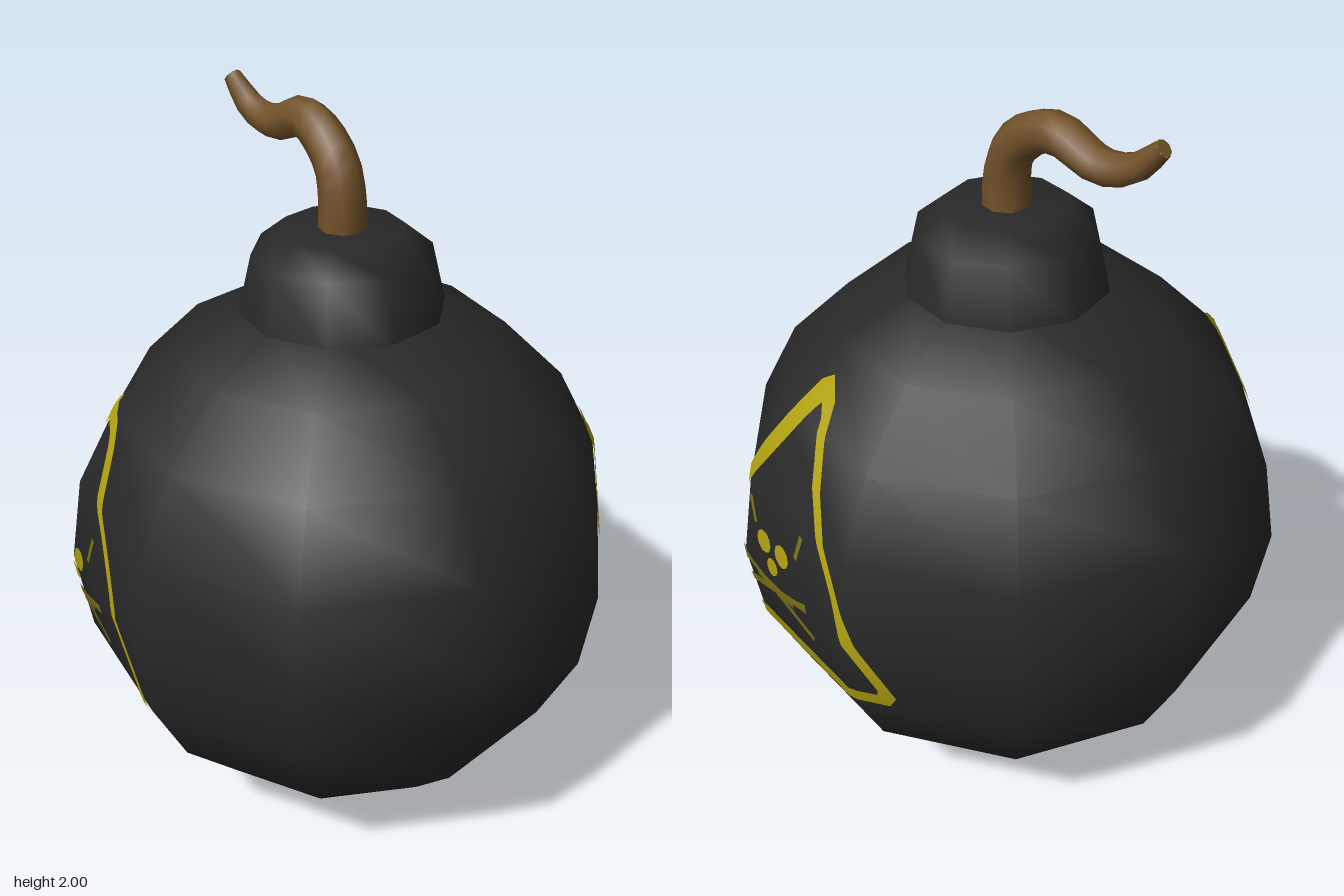
import * as THREE from 'three';

const R = 0.765, CY = 0.765, SIDES = 10, STEP = Math.PI / 5;

const mat = (name, color) => {
  const m = new THREE.MeshStandardMaterial({ color });
  m.name = name;
  return m;
};

// Horizontal radius of the faceted ball at angle a (from +x towards +z) and height y
function ballRadius(a, y) {
  const lat = Math.asin(THREE.MathUtils.clamp((y - CY) / R, -1, 1));
  const band = Math.PI / 10;
  const l0 = Math.floor(lat / band) * band, l1 = l0 + band;
  const t = ((y - CY) / R - Math.sin(l0)) / (Math.sin(l1) - Math.sin(l0));
  const ring = R * THREE.MathUtils.lerp(Math.cos(l0), Math.cos(l1), t);
  const local = a - Math.floor(a / STEP) * STEP - STEP / 2;
  return ring * Math.cos(STEP / 2) / Math.cos(local);
}

// Drops a flat (z, y) drawing point on the ball, turned and lowered for its side
function onBall([z, y], turn, drop) {
  let a = 0;
  for (let i = 0; i < 8; i++) a = Math.asin(Math.min(0.99, z / ballRadius(a, y)));
  a += turn;
  y -= drop;
  const r = ballRadius(a, y);
  const p = new THREE.Vector3(r * Math.cos(a), y, r * Math.sin(a));
  const n = new THREE.Vector3(p.x, y - CY, p.z).normalize();
  return { p: p.addScaledVector(n, 0.006), n };
}

// Painted skin between two matching lines, finely divided to follow the facets
function paint(lineA, lineB, side, cuts = 12, across = 3) {
  const pos = [], nor = [], index = [];
  const mix = (p, q, t) => [p[0] + (q[0] - p[0]) * t, p[1] + (q[1] - p[1]) * t];
  const total = (lineA.length - 1) * cuts;
  const pts = [];
  for (let i = 0; i <= total; i++) {
    const k = Math.min(Math.floor(i / cuts), lineA.length - 2), t = i / cuts - k;
    const a = mix(lineA[k], lineA[k + 1], t), b = mix(lineB[k], lineB[k + 1], t);
    for (let j = 0; j <= across; j++) {
      const { p, n } = onBall(mix(a, b, j / across), side.turn, side.drop);
      pts.push(p);
      pos.push(p.x, p.y, p.z);
      nor.push(n.x, n.y, n.z);
    }
  }
  const face = (a, b, c) => {
    const n = pts[b].clone().sub(pts[a]).cross(pts[c].clone().sub(pts[a]));
    const out = pts[a].clone().sub(new THREE.Vector3(0, CY, 0));
    if (n.dot(out) > 0) index.push(a, b, c); else index.push(a, c, b);
  };
  const w = across + 1;
  for (let i = 0; i < total; i++) for (let j = 0; j < across; j++) {
    const a = i * w + j;
    face(a, a + 1, a + w);
    face(a + 1, a + w + 1, a + w);
  }
  const g = new THREE.BufferGeometry();
  g.setAttribute('position', new THREE.Float32BufferAttribute(pos, 3));
  g.setAttribute('normal', new THREE.Float32BufferAttribute(nor, 3));
  g.setIndex(index);
  return g;
}

function stroke(a, b, width, side) {
  const dx = b[0] - a[0], dy = b[1] - a[1], s = width / 2 / Math.hypot(dx, dy);
  const shift = (p, k) => [p[0] - dy * s * k, p[1] + dx * s * k];
  return paint([shift(a, 1), shift(b, 1)], [shift(a, -1), shift(b, -1)], side);
}

function dot(c, r, side) {
  const rim = [], mid = [];
  for (let i = 0; i <= 10; i++) {
    const t = i * Math.PI / 5;
    rim.push([c[0] + r * Math.cos(t), c[1] + r * Math.sin(t)]);
    mid.push(c);
  }
  return paint(rim, mid, side, 2);
}

export function createModel() {
  const group = new THREE.Group();
  const black = mat('black iron', 0x282828);
  const yellow = mat('warning yellow', 0xb0a010);
  const dullYellow = mat('worn yellow', 0x7a6f16);
  const brown = mat('fuse brown', 0x73522a);

  const add = (parent, name, geometry, material) => {
    const m = new THREE.Mesh(geometry, material);
    m.name = name;
    parent.add(m);
    return m;
  };

  // Ball and neck
  add(group, 'ball', new THREE.SphereGeometry(R, SIDES, 10), black).position.y = CY;
  const neck = [[0.285, 1.42], [0.28, 1.46], [0.24, 1.63], [0.165, 1.69], [0, 1.69]];
  add(group, 'neck', new THREE.LatheGeometry(
    neck.map(p => new THREE.Vector2(...p)), SIDES, Math.PI / 2), black);

  // Bent fuse, thinner towards its tip
  const path = new THREE.CatmullRomCurve3([
    [0, 1.66, 0], [0, 1.76, 0], [0.005, 1.84, -0.02], [0.015, 1.9, -0.075],
    [0.035, 1.935, -0.17], [0.05, 1.89, -0.3], [0.055, 1.91, -0.39], [0.055, 1.98, -0.465],
  ].map(p => new THREE.Vector3(...p)));
  const rows = 16, sides = 8, tipRadius = 0.024;
  const fuse = new THREE.TubeGeometry(path, rows, 1, sides);
  const v = new THREE.Vector3(), pos = fuse.attributes.position;
  for (let i = 0; i <= rows; i++) {
    const t = i / rows, c = path.getPointAt(t);
    const r = 0.065 - 0.02 * t - (0.045 - tipRadius) * t ** 5;
    for (let j = 0; j <= sides; j++) {
      const k = i * (sides + 1) + j;
      v.fromBufferAttribute(pos, k).sub(c).multiplyScalar(r).add(c);
      pos.setXYZ(k, v.x, v.y, v.z);
    }
  }
  add(group, 'fuse', fuse, brown);
  const tip = add(group, 'fuseTip', new THREE.CircleGeometry(tipRadius, sides), brown);
  tip.position.copy(path.getPointAt(1));
  tip.quaternion.setFromUnitVectors(new THREE.Vector3(0, 0, 1), path.getTangentAt(1));

  // Warning signs on both sides
  const outer = [[0.23, 1.32], [0.265, 1.3], [0.44, 1.05], [0.56, 0.84], [0.61, 0.58], [0.59, 0.545],
    [0.24, 0.545], [-0.1, 0.545], [-0.12, 0.58], [0.005, 0.865], [0.14, 1.1], [0.19, 1.28], [0.23, 1.32]];
  const inner = [[0.232, 1.265], [0.25, 1.245], [0.405, 1.03], [0.52, 0.825], [0.572, 0.6], [0.565, 0.583],
    [0.24, 0.583], [-0.07, 0.583], [-0.075, 0.6], [0.045, 0.88], [0.175, 1.1], [0.212, 1.24], [0.232, 1.265]];
  const signs = [
    { name: 'leftSign', turn: 0, drop: 0 },
    { name: 'rightSign', turn: Math.PI + 0.175, drop: 0.075 },
  ];
  for (const side of signs) {
    const sign = new THREE.Group();
    sign.name = side.name;
    group.add(sign);
    add(sign, 'signBorder', paint(outer, inner, side), yellow);
    for (const eye of [[0.35, 0.855], [0.267, 0.857]]) add(sign, 'skullEye', dot(eye, 0.032, side), yellow);
    add(sign, 'skullNose', dot([0.308, 0.8], 0.025, side), yellow);
    // Skull outline and crossed bones
    add(sign, 'skullEdge', stroke([0.415, 0.96], [0.39, 0.89], 0.014, side), dullYellow);
    add(sign, 'skullEdge', stroke([0.18, 0.97], [0.205, 0.89], 0.014, side), dullYellow);
    add(sign, 'bone', stroke([0.46, 0.77], [0.14, 0.66], 0.026, side), dullYellow);
    add(sign, 'bone', stroke([0.15, 0.77], [0.46, 0.67], 0.026, side), dullYellow);
    add(sign, 'jaw', stroke([0.39, 0.73], [0.22, 0.73], 0.03, side), dullYellow);
  }
  return group;
}
